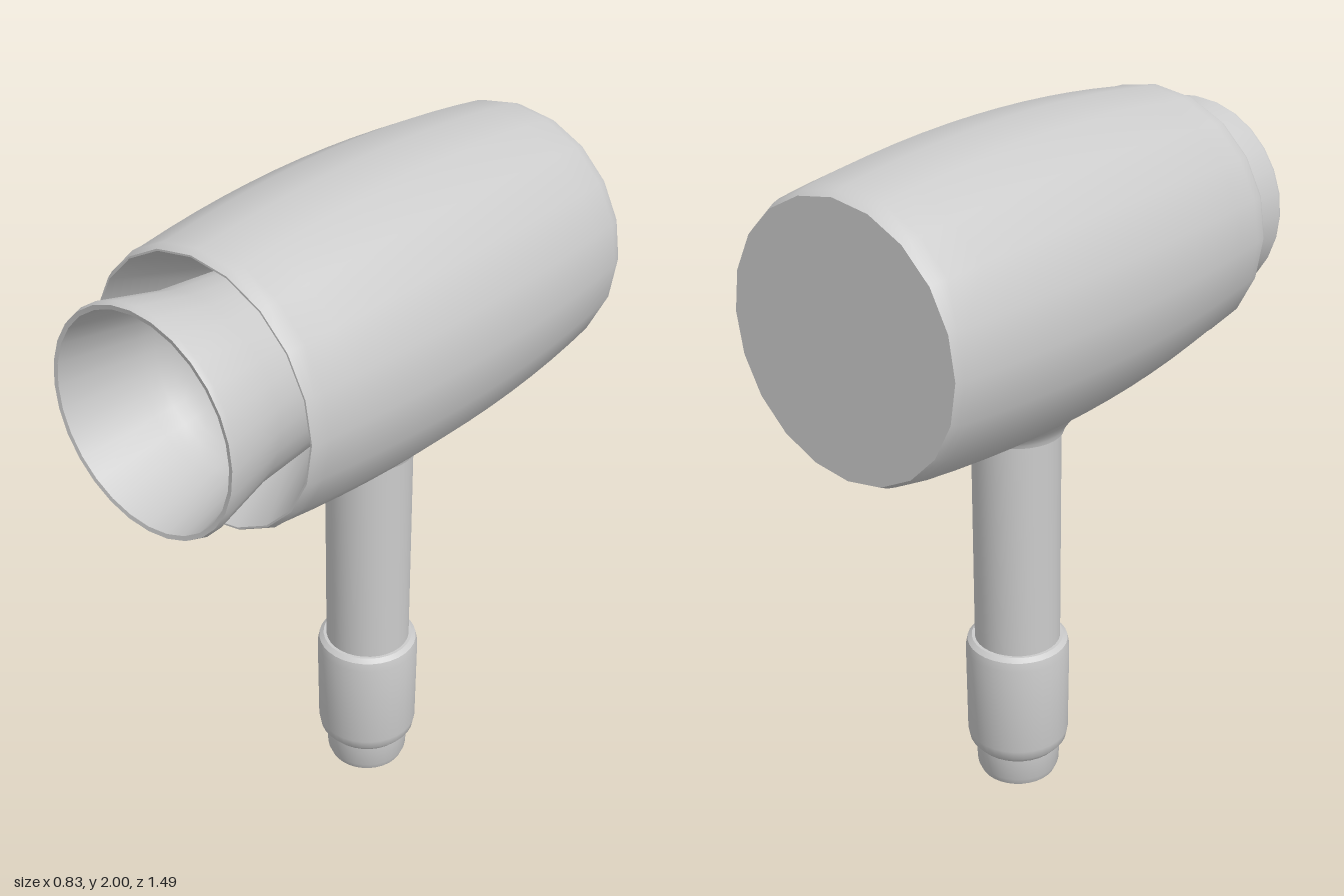
import * as THREE from 'three';
import { toCreasedNormals } from 'three/addons/utils/BufferGeometryUtils.js';

const AXIS_Y = 1.585;   // height of the barrel axis
const HANDLE_Z = -0.095; // handle position along the barrel

// Barrel radius at a given z: a gentle bulge around the handle
const barrelRadius = (z) => 0.415 - 0.11 * (z - HANDLE_Z) ** 2;

export function createModel() {
  const group = new THREE.Group();
  const material = new THREE.MeshStandardMaterial({ color: 0xcccccc, side: THREE.DoubleSide });

  function addMesh(name, geometry) {
    const mesh = new THREE.Mesh(toCreasedNormals(geometry, 0.6), material);
    mesh.name = name;
    group.add(mesh);
    return mesh;
  }

  const lathe = (points, sides) =>
    new THREE.LatheGeometry(points.map(([r, h]) => new THREE.Vector2(r, h)), sides);

  // Turned parts lying along z
  function addAlongZ(name, points, sides) {
    const mesh = addMesh(name, lathe(points, sides));
    mesh.rotation.x = Math.PI / 2;
    mesh.position.y = AXIS_Y;
  }

  // Turned parts standing on the handle axis
  function addUpright(name, points) {
    addMesh(name, lathe(points, 32)).position.z = HANDLE_Z;
  }

  // Barrel: flat back, bulging wall, and a tapering recess in the front
  const wall = [];
  for (let i = 0; i <= 12; i++) {
    const z = -0.7 + (1.2 * i) / 12;
    wall.push([barrelRadius(z), z]);
  }
  addAlongZ('barrel', [
    [0, -0.745], [0.358, -0.745], [0.368, -0.725], ...wall,
    [0.375, 0.53], [0.365, 0.55], [0.36, 0.55], [0.25, 0.3], [0, 0.3],
  ], 20);

  // Flared mouthpiece: outer wall, rim, and rounded bowl inside
  const bowl = [];
  for (let i = 0; i <= 10; i++) {
    const a = (i / 10) * Math.PI / 2;
    bowl.push([0.245 * Math.cos(a), 0.53 - 0.2 * Math.sin(a)]);
  }
  addAlongZ('mouthpiece', [
    [0.245, 0.3], [0.265, 0.55], [0.305, 0.73], [0.3, 0.745], [0.288, 0.743], ...bowl,
  ], 28);

  // Handle shaft
  addUpright('handle', [[0.125, 0.44], [0.125, 1.19]]);

  // Grip with rounded shoulders and a smaller foot
  addUpright('grip', [
    [0, 0], [0.095, 0], [0.113, 0.008], [0.122, 0.03], [0.126, 0.1],
    [0.145, 0.122], [0.15, 0.15], [0.152, 0.43], [0.147, 0.457], [0.134, 0.468], [0.12, 0.468],
  ]);

  // Neck: flare whose upper rows follow the underside of the barrel
  const rows = 8;
  const neckPoints = [[0.12, 0]];
  for (let i = 0; i <= rows; i++) {
    const t = i / rows;
    neckPoints.push([0.132 + 0.075 * t ** 1.6, t]);
  }
  const neck = lathe(neckPoints, 32);
  const pos = neck.attributes.position;
  for (let i = 0; i < pos.count; i++) {
    const x = pos.getX(i), t = pos.getY(i), z = pos.getZ(i);
    const r = barrelRadius(z + HANDLE_Z);
    const under = AXIS_Y - Math.sqrt(r * r - x * x) + 0.004;
    const rise = 1 - (1 - t) ** 1.4;
    pos.setY(i, THREE.MathUtils.lerp(1.13, under, rise));
  }
  addMesh('neck', neck).position.z = HANDLE_Z;

  return group;
}
